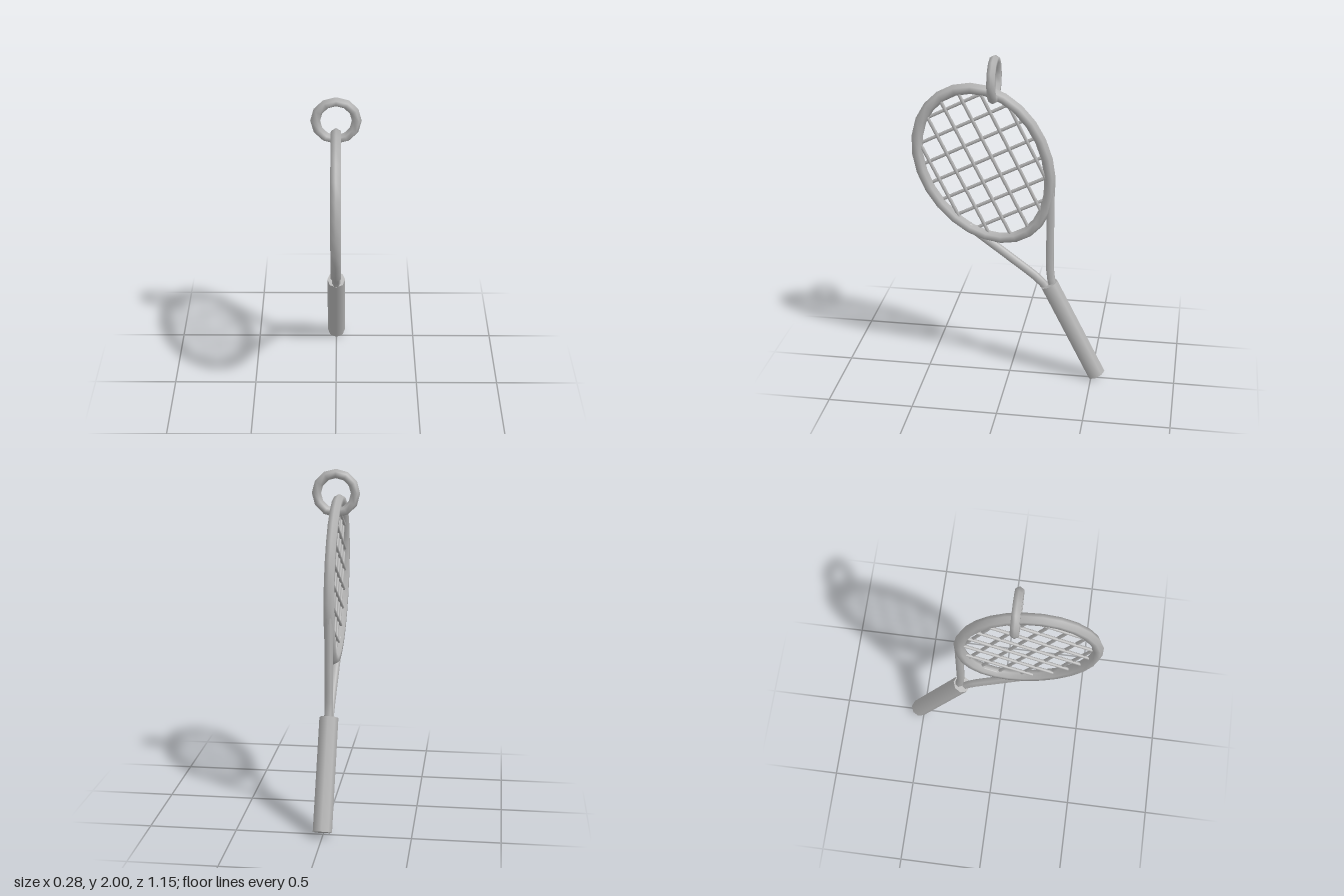
import * as THREE from 'three';
import { mergeVertices } from 'three/addons/utils/BufferGeometryUtils.js';

const HEAD = 0.475; // half length of the head

// Egg-shaped centre line of the head, slightly wider towards the tip
const halfWidth = (s) => 0.362 + 0.02 * s;
const egg = (t) => new THREE.Vector2(
  halfWidth(Math.sin(t)) * Math.cos(t), HEAD * Math.sin(t));

// Bend a six-sided torus onto the egg outline
function rimGeometry() {
  let geo = new THREE.TorusGeometry(1, 0.033, 6, 26);
  const p = geo.attributes.position;
  for (let i = 0; i < p.count; i++) {
    const t = Math.atan2(p.getY(i), p.getX(i));
    const out = Math.hypot(p.getX(i), p.getY(i)) - 1;
    const c = egg(t);
    const tangent = egg(t + 0.01).sub(egg(t - 0.01)).normalize();
    p.setXY(i, c.x + out * tangent.y, c.y - out * tangent.x);
  }
  geo.deleteAttribute('uv');
  geo.deleteAttribute('normal');
  geo = mergeVertices(geo, 1e-4);
  geo.computeVertexNormals();
  return geo;
}

export function createModel() {
  const model = new THREE.Group();
  const grey = new THREE.MeshStandardMaterial({ color: 0xb4b4b4 });
  grey.name = 'grey';

  const add = (parent, name, geo) => {
    const mesh = new THREE.Mesh(geo, grey);
    mesh.name = name;
    parent.add(mesh);
    return mesh;
  };

  // Racket is built upright in its own plane, then tilted
  const racket = new THREE.Group();
  racket.name = 'racket';
  racket.rotation.set(0.467, -Math.PI / 2, 0);
  racket.position.set(0, 1.345, 0.145);
  model.add(racket);

  add(racket, 'rim', rimGeometry());

  // Handle
  const handle = add(racket, 'handle', new THREE.CylinderGeometry(0.055, 0.055, 0.655, 8));
  handle.position.set(-0.012, -1.152, 0);

  // Two shafts flowing from the handle into the rim
  for (const side of [-1, 1]) {
    const path = new THREE.CatmullRomCurve3([
      [0.018, -0.86], [0.035, -0.78], [0.13, -0.58], [0.215, -0.41], [0.27, -0.3],
    ].map(([u, v]) => new THREE.Vector3(side * u - 0.008, v, 0)));
    add(racket, side < 0 ? 'rightShaft' : 'leftShaft',
      new THREE.TubeGeometry(path, 10, 0.025, 6));
  }

  // Strings
  const strings = new THREE.Group();
  strings.name = 'strings';
  racket.add(strings);
  const string = (name, length) =>
    add(strings, name, new THREE.CylinderGeometry(0.01, 0.01, length, 6, 1, true));

  for (let i = 0; i < 8; i++) {
    const v = 0.39 - i * 0.12;
    const s = v / HEAD;
    const half = halfWidth(s) * Math.sqrt(1 - s * s);
    const cross = string('crossString', 2 * half);
    cross.rotation.z = Math.PI / 2;
    cross.position.set(0, v, 0.004);
  }
  for (let i = 0; i < 6; i++) {
    const u = -0.29 + i * 0.115;
    const half = HEAD * Math.sqrt(1 - (u / 0.362) ** 2);
    const main = string('mainString', 2 * half);
    main.position.set(u, 0.01, -0.004);
  }

  // Hanging ring looped over the tip of the head
  const ring = add(model, 'hangingRing', new THREE.TorusGeometry(0.113, 0.027, 6, 12));
  ring.position.set(0, 1.86, 0.088);

  return model;
}
